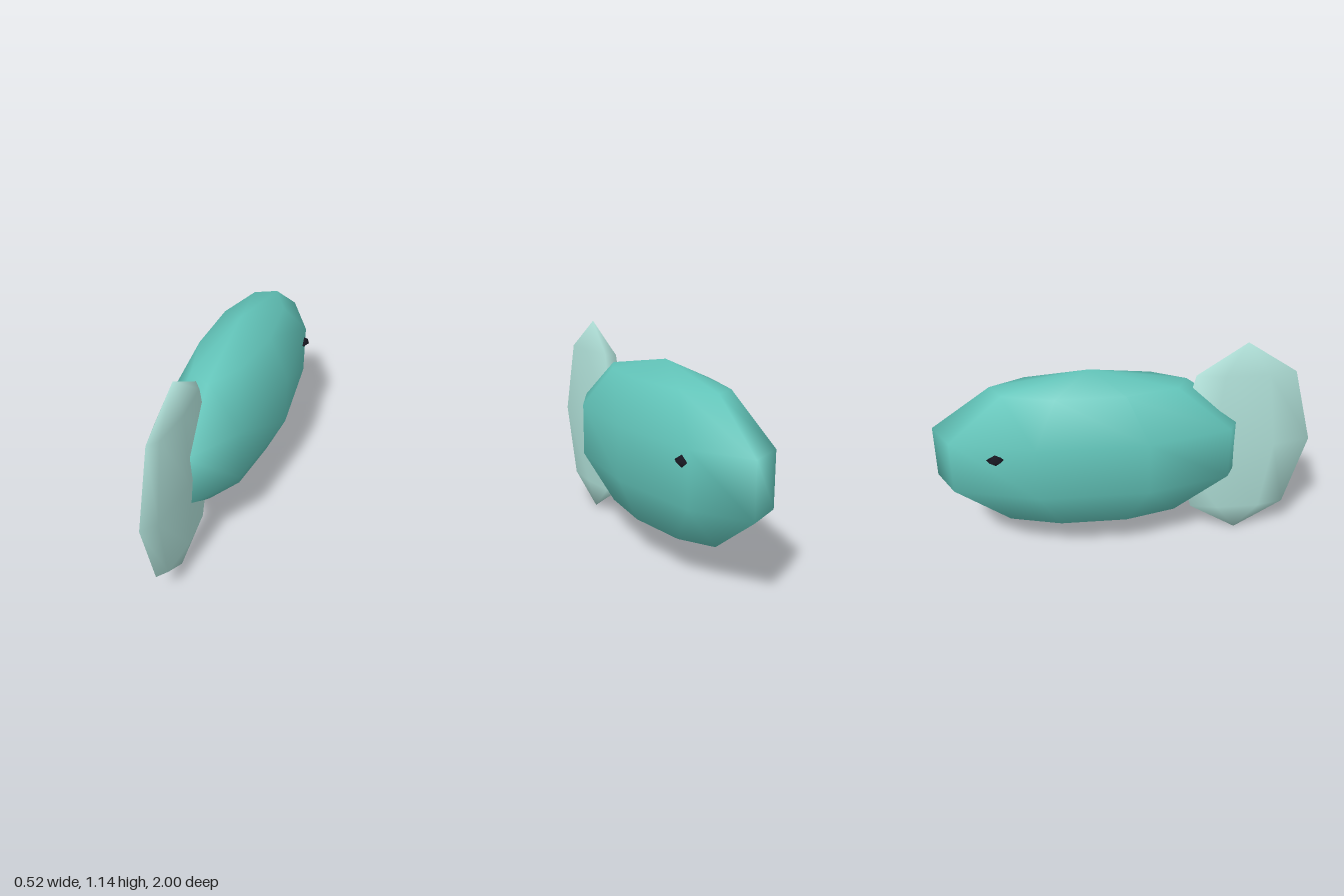
import * as THREE from 'three';

const CENTRE_X = -0.008;

// Low-poly ellipsoid with one row of vertices pointing to +x
function ellipsoid(name, color, sides, rings, radii, position) {
  const geometry = new THREE.SphereGeometry(1, sides, rings);
  const mesh = new THREE.Mesh(geometry, new THREE.MeshStandardMaterial({ color }));
  mesh.name = name;
  mesh.rotation.y = Math.PI;
  mesh.scale.set(...radii);
  mesh.position.set(...position);
  return mesh;
}

export function createModel() {
  const group = new THREE.Group();
  group.name = 'fish';

  // Long, laterally flattened body with the head towards -z
  group.add(ellipsoid('body', 0x62c4b9, 9, 5, [0.284, 0.455, 0.873], [CENTRE_X, 0.575, -0.182]));

  // Tall thin tail fin
  group.add(ellipsoid('tailFin', 0xb0e0d8, 7, 4, [0.068, 0.569, 0.38], [CENTRE_X, 0.571, 0.63]));

  // Small eyes on both sides of the head
  for (const [name, side] of [['leftEye', 1], ['rightEye', -1]]) {
    group.add(ellipsoid(name, 0x1a1a24, 5, 2, [0.031, 0.031, 0.048], [CENTRE_X + side * 0.212, 0.653, -0.67]));
  }
  return group;
}
